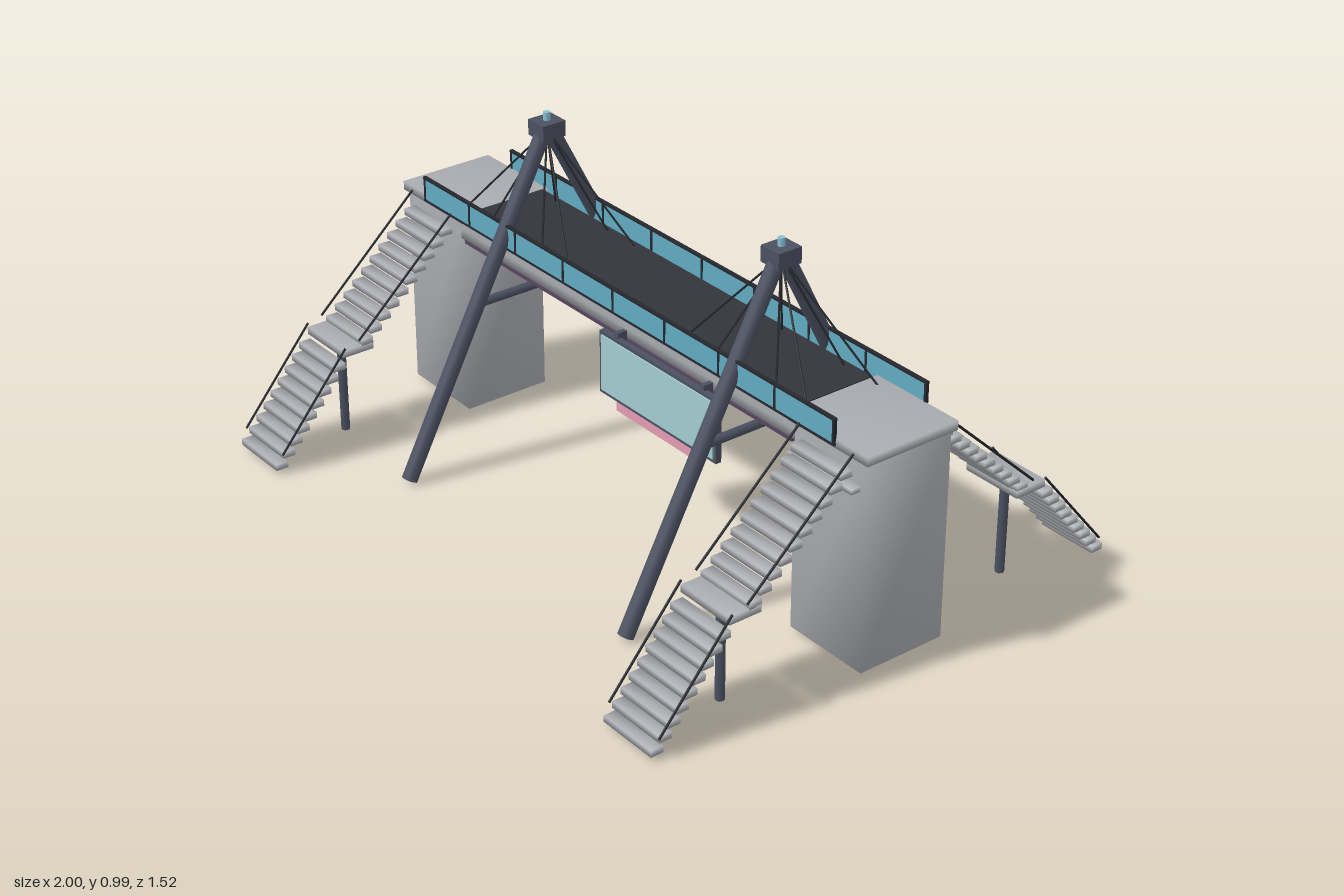
import * as THREE from 'three';
import { mergeVertices } from 'three/addons/utils/BufferGeometryUtils.js';

const mat = (name, color) => {
  const m = new THREE.MeshStandardMaterial({ color });
  m.name = name;
  return m;
};

export function createModel() {
  const concrete = mat('concrete', 0xa9abb0);
  const steel = mat('slate steel', 0x4b5162);
  const asphalt = mat('dark walkway', 0x34343b);
  const glass = mat('blue glass', 0x62abc2);
  const screen = mat('pale screen', 0xa3cdd0);
  const pink = mat('pink light', 0xe39db2);
  const black = mat('cable black', 0x26282e);
  const violet = mat('violet strip', 0x57455f);
  const lamp = mat('lamp blue', 0x8cc4d8);

  const model = new THREE.Group();
  model.name = 'footbridge';

  const add = (parent, name, geo, material, x, y, z) => {
    const mesh = new THREE.Mesh(geo, material);
    mesh.name = name;
    mesh.position.set(x, y, z);
    parent.add(mesh);
    return mesh;
  };
  const box = (parent, name, material, w, h, d, x, y, z) =>
    add(parent, name, new THREE.BoxGeometry(w, h, d), material, x, y, z);
  // Box with shared corner normals, for softly shaded concrete
  const softBox = (parent, name, w, h, d, x, y, z) => {
    let geo = new THREE.BoxGeometry(w, h, d);
    geo.deleteAttribute('normal');
    geo.deleteAttribute('uv');
    geo = mergeVertices(geo);
    geo.computeVertexNormals();
    return add(parent, name, geo, concrete, x, y, z);
  };
  // Round bar between two points
  const bar = (parent, name, material, a, b, r, sides = 6) => {
    const from = new THREE.Vector3(...a), to = new THREE.Vector3(...b);
    const dir = to.clone().sub(from);
    const mid = from.add(to).multiplyScalar(0.5);
    const mesh = add(parent, name, new THREE.CylinderGeometry(r, r, dir.length(), sides), material, mid.x, mid.y, mid.z);
    mesh.quaternion.setFromUnitVectors(new THREE.Vector3(0, 1, 0), dir.normalize());
    return mesh;
  };

  // Deck
  const deck = new THREE.Group();
  deck.name = 'deck';
  model.add(deck);
  box(deck, 'deckSlab', concrete, 1.46, 0.035, 0.29, 0, 0.6175, 0);
  softBox(deck, 'deckBeam', 1.46, 0.04, 0.27, 0, 0.583, 0);
  box(deck, 'walkway', asphalt, 1.41, 0.012, 0.26, 0, 0.642, 0);

  // Glass parapets, front and back
  for (const s of [1, -1]) {
    const rail = new THREE.Group();
    rail.name = 'parapet';
    model.add(rail);
    box(rail, 'glassPanel', glass, 1.76, 0.066, 0.006, 0, 0.664, s * 0.15);
    box(rail, 'topRail', black, 1.77, 0.007, 0.01, 0, 0.699, s * 0.15);
    box(rail, 'bottomRail', black, 1.77, 0.006, 0.01, 0, 0.63, s * 0.15);
    for (let i = 0; i <= 8; i++)
      box(rail, 'railPost', black, 0.007, 0.074, 0.01, -0.88 + i * 0.22, 0.664, s * 0.15);
    box(rail, 'lightStrip', violet, 1.42, 0.01, 0.012, 0, 0.56, s * 0.132);
  }

  // End piers with caps
  for (const s of [1, -1]) {
    softBox(model, 'pier', 0.27, 0.61, 0.27, s * 0.855, 0.32, 0);
    softBox(model, 'pierCap', 0.295, 0.026, 0.295, s * 0.8525, 0.632, 0);
  }

  // Four stairs
  for (const sx of [1, -1]) for (const sz of [1, -1]) {
    const stair = new THREE.Group();
    stair.name = 'stair';
    stair.position.x = sx * 0.853;
    model.add(stair);
    const w = 0.187;
    for (let i = 0; i < 9; i++)
      softBox(stair, 'lowerStep', w, 0.019, 0.038, 0, 0.024 + i * 0.0305, sz * (0.743 - i * 0.0256));
    softBox(stair, 'landing', w, 0.022, 0.1, 0, 0.305, sz * 0.475);
    for (let i = 0; i < 10; i++)
      softBox(stair, 'upperStep', w, 0.019, 0.038, 0, 0.322 + i * 0.0285, sz * (0.444 - i * 0.031));
    bar(stair, 'landingPost', steel, [0, 0.01, sz * 0.475], [0, 0.297, sz * 0.475], 0.013, 8);
    for (const side of [1, -1]) {
      const x = side * 0.098;
      bar(stair, 'lowerHandrail', black, [x, 0.06, sz * 0.742], [x, 0.325, sz * 0.52], 0.0035);
      bar(stair, 'upperHandrail', black, [x, 0.335, sz * 0.475], [x, 0.635, sz * 0.15], 0.0035);
    }
  }
  softBox(model, 'stairBracket', 0.24, 0.014, 0.03, 0.845, 0.538, 0.15);

  // A-frame pylons with stay cables
  for (const s of [1, -1]) {
    const pylon = new THREE.Group();
    pylon.name = 'pylon';
    pylon.position.x = s * 0.495;
    model.add(pylon);
    for (const z of [1, -1]) {
      bar(pylon, 'leg', steel, [0, 0.95, z * 0.005], [0, 0.013, z * 0.493], 0.023, 12);
      for (const dx of [-0.25, -0.125, 0.125, 0.25])
        bar(pylon, 'stayCable', black, [0, 0.94, 0], [dx, 0.64, z * 0.115], 0.003, 5);
    }
    bar(pylon, 'crossBeam', steel, [0, 0.485, -0.24], [0, 0.485, 0.24], 0.013, 8);
    box(pylon, 'pylonHead', steel, 0.07, 0.046, 0.075, 0, 0.947, 0);
    add(pylon, 'beacon', new THREE.CylinderGeometry(0.01, 0.01, 0.024, 10), lamp, 0, 0.982, 0);
  }

  // Hanging display on the front side
  const sign = new THREE.Group();
  sign.name = 'display';
  sign.position.set(0.217, 0, 0.167);
  model.add(sign);
  box(sign, 'displayFrame', steel, 0.49, 0.185, 0.018, 0, 0.482, 0);
  box(sign, 'displayScreen', screen, 0.47, 0.165, 0.004, 0, 0.483, 0.011);
  box(sign, 'lightBar', pink, 0.36, 0.03, 0.009, 0, 0.373, 0);
  for (const x of [-0.18, 0.18])
    box(sign, 'hanger', steel, 0.014, 0.03, 0.03, x, 0.575, -0.012);

  return model;
}
